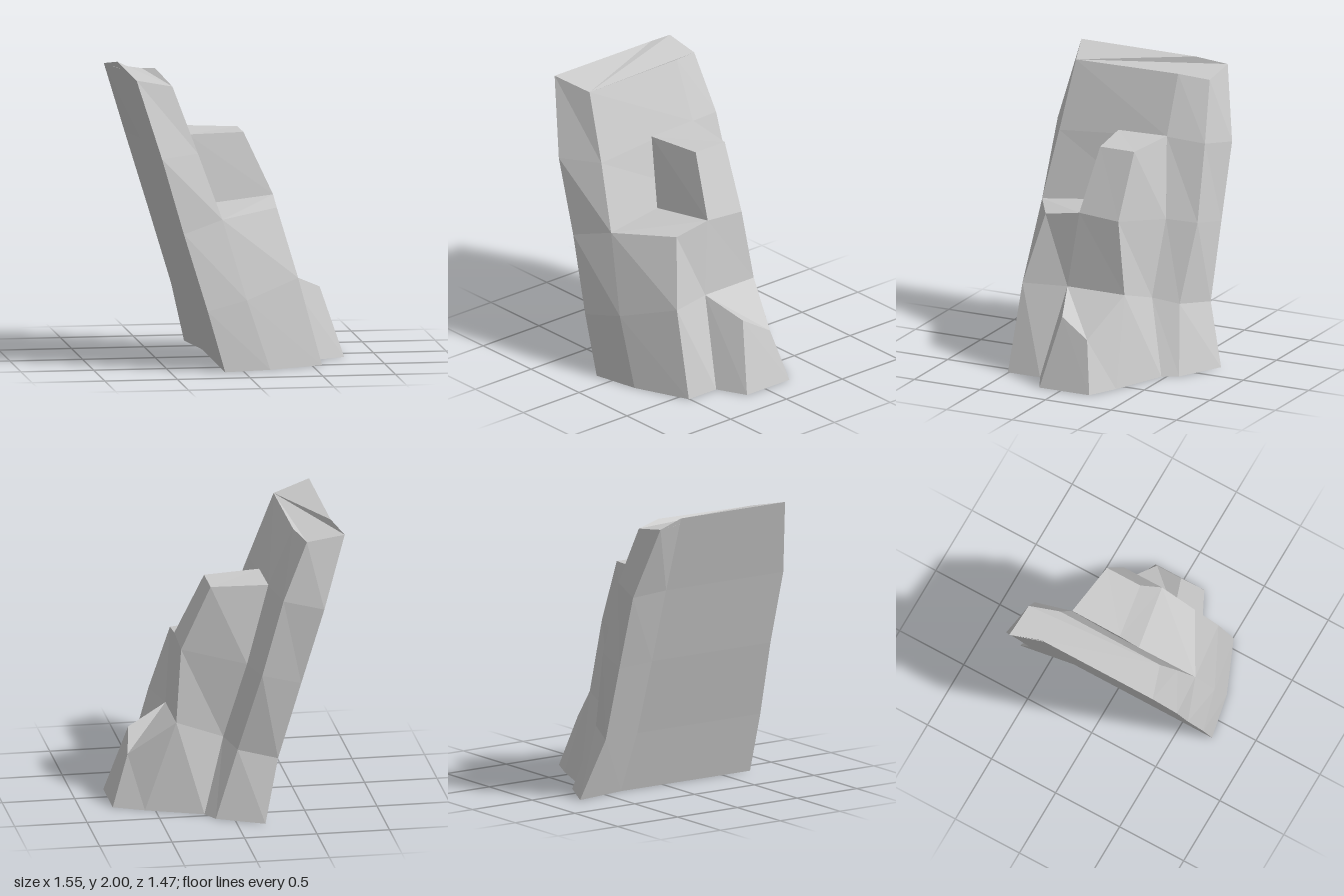
import * as THREE from 'three';

// Faceted stone skinned over rings of [x, y, z] points.
// Rings run top to bottom, each counterclockwise seen from above.
function loft(name, rings) {
  const pos = [];
  const tri = (a, b, c) => pos.push(...a, ...b, ...c);
  const n = rings[0].length;
  for (let r = 0; r < rings.length - 1; r++) {
    for (let i = 0; i < n; i++) {
      const j = (i + 1) % n, up = rings[r], low = rings[r + 1];
      tri(up[i], low[i], low[j]);
      tri(up[i], low[j], up[j]);
    }
  }
  const top = rings[0], base = rings[rings.length - 1];
  for (let i = 1; i < n - 1; i++) {
    tri(top[0], top[i], top[i + 1]);
    tri(base[0], base[i + 1], base[i]);
  }
  const geometry = new THREE.BufferGeometry();
  geometry.setAttribute('position', new THREE.Float32BufferAttribute(pos, 3));
  geometry.computeVertexNormals();
  const mesh = new THREE.Mesh(geometry, new THREE.MeshStandardMaterial({ color: 0xcccccc, flatShading: true }));
  mesh.name = name;
  return mesh;
}

export function createModel() {
  const group = new THREE.Group();
  group.name = 'leaningRock';

  // Tall leaning slab
  group.add(loft('leaningSlab', [
    [[-0.46, 1.94, 0.51], [-0.46, 1.95, -0.27], [-0.52, 1.92, -0.48], [-0.78, 1.96, -0.485], [-0.72, 2, -0.27], [-0.72, 2, 0.6]],
    [[-0.29, 1.48, 0.55], [-0.29, 1.55, -0.27], [-0.35, 1.52, -0.53], [-0.62, 1.47, -0.6], [-0.56, 1.47, -0.28], [-0.56, 1.47, 0.7]],
    [[-0.13, 1.03, 0.6], [-0.13, 1.02, -0.345], [-0.2, 1.0, -0.55], [-0.46, 0.95, -0.6], [-0.41, 0.95, -0.29], [-0.41, 0.95, 0.7]],
    [[0.03, 0.48, 0.66], [0.03, 0.5, -0.32], [-0.04, 0.46, -0.495], [-0.3, 0.42, -0.6], [-0.25, 0.42, -0.3], [-0.25, 0.42, 0.73]],
    [[0.19, 0, 0.665], [0.185, 0, -0.47], [0.125, 0, -0.575], [-0.19, 0, -0.735], [-0.13, 0, -0.35], [-0.13, 0, 0.73]],
  ]));

  // Points shared by the neighbouring blocks, from the ledge to the ground
  const ledge = { inner: [-0.15, 1.08, 0.17], outer: [0.295, 1.12, 0.1] };
  const waist = { inner: [0, 0.5, 0.17], outer: [0.345, 0.6, 0.165], rear: [0.345, 0.6, -0.27] };
  const foot = { inner: [0.18, 0, 0.17], outer: [0.57, 0, 0.26], rear: [0.57, 0, -0.32] };

  // Middle block stepping down from the slab
  group.add(loft('middleBlock', [
    [[-0.29, 1.545, 0.1], [0.1, 1.545, 0.04], [0.1, 1.545, -0.22], [-0.29, 1.555, -0.27]],
    [ledge.inner, ledge.outer, [0.3, 1.1, -0.2], [-0.13, 1.02, -0.345]],
    [waist.inner, waist.outer, waist.rear, [0.03, 0.5, -0.32]],
    [foot.inner, foot.outer, foot.rear, [0.185, 0, -0.47]],
  ]));

  // Front block with the sloping ledge
  group.add(loft('frontLedge', [
    [[-0.13, 1.03, 0.6], [0.28, 1.07, 0.365], ledge.outer, ledge.inner],
    [[0.03, 0.48, 0.66], [0.41, 0.6, 0.475], waist.outer, waist.inner],
    [[0.19, 0, 0.665], [0.57, 0, 0.505], foot.outer, foot.inner],
  ]));

  // Low outcrop at the side
  group.add(loft('sideOutcrop', [
    [waist.outer, [0.62, 0.475, 0.065], [0.66, 0.35, -0.145], waist.rear],
    [foot.outer, [0.775, 0, 0.16], [0.775, 0, -0.22], foot.rear],
  ]));

  return group;
}
